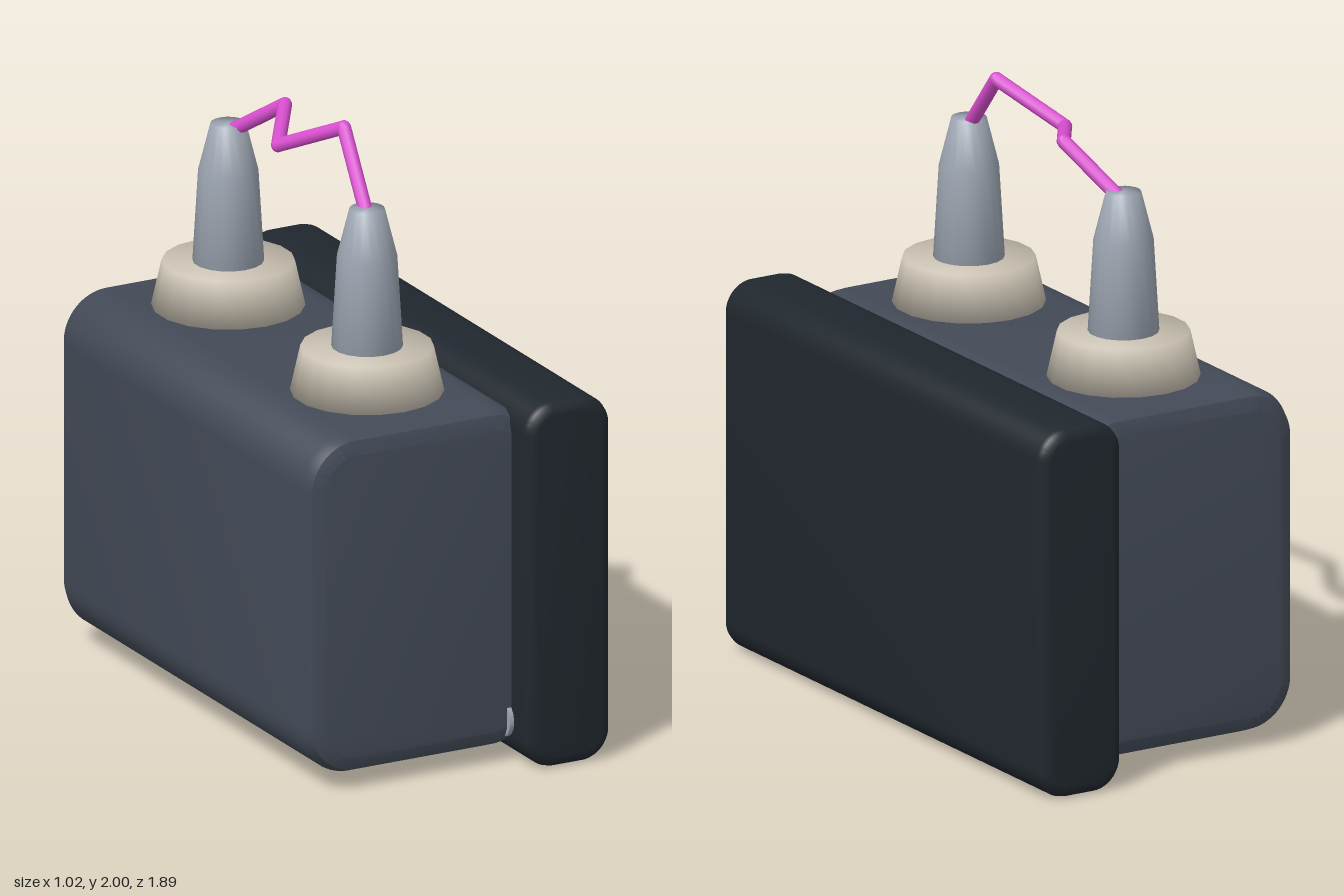
import * as THREE from 'three';
import { toCreasedNormals } from 'three/addons/utils/BufferGeometryUtils.js';

const paint = (color) => new THREE.MeshStandardMaterial({ color });

function part(name, geometry, material) {
  const mesh = new THREE.Mesh(geometry, material);
  mesh.name = name;
  return mesh;
}

// Rounded rectangle in x-y, extruded along z with bevelled ends
function roundedBlock(x0, x1, y0, y1, depth, radius, bevel, steps) {
  const a = x0 + bevel, b = x1 - bevel, c = y0 + bevel, d = y1 - bevel;
  const r = radius - bevel;
  const s = new THREE.Shape();
  s.moveTo(a + r, c);
  s.lineTo(b - r, c);
  s.absarc(b - r, c + r, r, -Math.PI / 2, 0);
  s.lineTo(b, d - r);
  s.absarc(b - r, d - r, r, 0, Math.PI / 2);
  s.lineTo(a + r, d);
  s.absarc(a + r, d - r, r, Math.PI / 2, Math.PI);
  s.lineTo(a, c + r);
  s.absarc(a + r, c + r, r, Math.PI, Math.PI * 1.5);
  const length = depth - 2 * bevel;
  const g = new THREE.ExtrudeGeometry(s, {
    depth: length, bevelEnabled: true, bevelSize: bevel,
    bevelThickness: bevel, bevelSegments: steps, curveSegments: 8,
  });
  g.translate(0, 0, -length / 2);
  return toCreasedNormals(g, 0.6);
}

const lathe = (points, sides) =>
  new THREE.LatheGeometry(points.map(([r, y]) => new THREE.Vector2(r, y)), sides);

export function createModel() {
  const model = new THREE.Group();
  model.name = 'terminalBox';
  const bodyMat = paint(0x434a57), plateMat = paint(0x20272e);
  const collarMat = paint(0xc9c1b2), metalMat = paint(0x9da6b2), wireMat = paint(0xd94fd0);

  // Main housing and the larger plate on its side
  model.add(part('body', roundedBlock(-0.51, 0.32, 0.05, 1.18, 1.665, 0.17, 0.06, 2), bodyMat));
  model.add(part('sidePlate', roundedBlock(0.21, 0.51, 0, 1.215, 1.89, 0.1, 0.035, 3), plateMat));

  // Small metal studs between housing and plate, at opposite corners
  for (const [y, z] of [[0.14, 0.79], [1.09, -0.79]]) {
    const stud = part('stud', new THREE.CylinderGeometry(0.062, 0.062, 0.04, 16), metalMat);
    stud.rotation.z = Math.PI / 2;
    stud.position.set(0.215, y, z);
    model.add(stud);
  }

  // Two terminals: wide collar with a tapered post
  for (const z of [0.455, -0.455]) {
    const terminal = new THREE.Group();
    terminal.name = z > 0 ? 'frontTerminal' : 'backTerminal';
    terminal.position.set(-0.1, 0, z);
    terminal.add(part('collar', lathe([[0, 1.15], [0.245, 1.17], [0.21, 1.328], [0, 1.328]], 18), collarMat));
    terminal.add(part('post', lathe([[0, 1.3], [0.114, 1.31], [0.095, 1.63], [0.056, 1.785], [0, 1.785]], 18), metalMat));
    model.add(terminal);
  }

  // Jagged spark between the post tips, with round joints
  const path = [
    [-0.097, 1.77, 0.44], [-0.06, 1.977, 0.23], [-0.17, 1.865, 0],
    [-0.02, 1.903, -0.23], [-0.09, 1.765, -0.44],
  ].map((p) => new THREE.Vector3(...p));
  const spark = new THREE.Group();
  spark.name = 'spark';
  path.forEach((p, i) => {
    const joint = part('sparkJoint', new THREE.SphereGeometry(0.023, 10, 8), wireMat);
    joint.position.copy(p);
    spark.add(joint);
    if (i === path.length - 1) return;
    const line = new THREE.LineCurve3(p, path[i + 1]);
    spark.add(part('sparkSegment', new THREE.TubeGeometry(line, 1, 0.023, 10), wireMat));
  });
  model.add(spark);
  return model;
}
